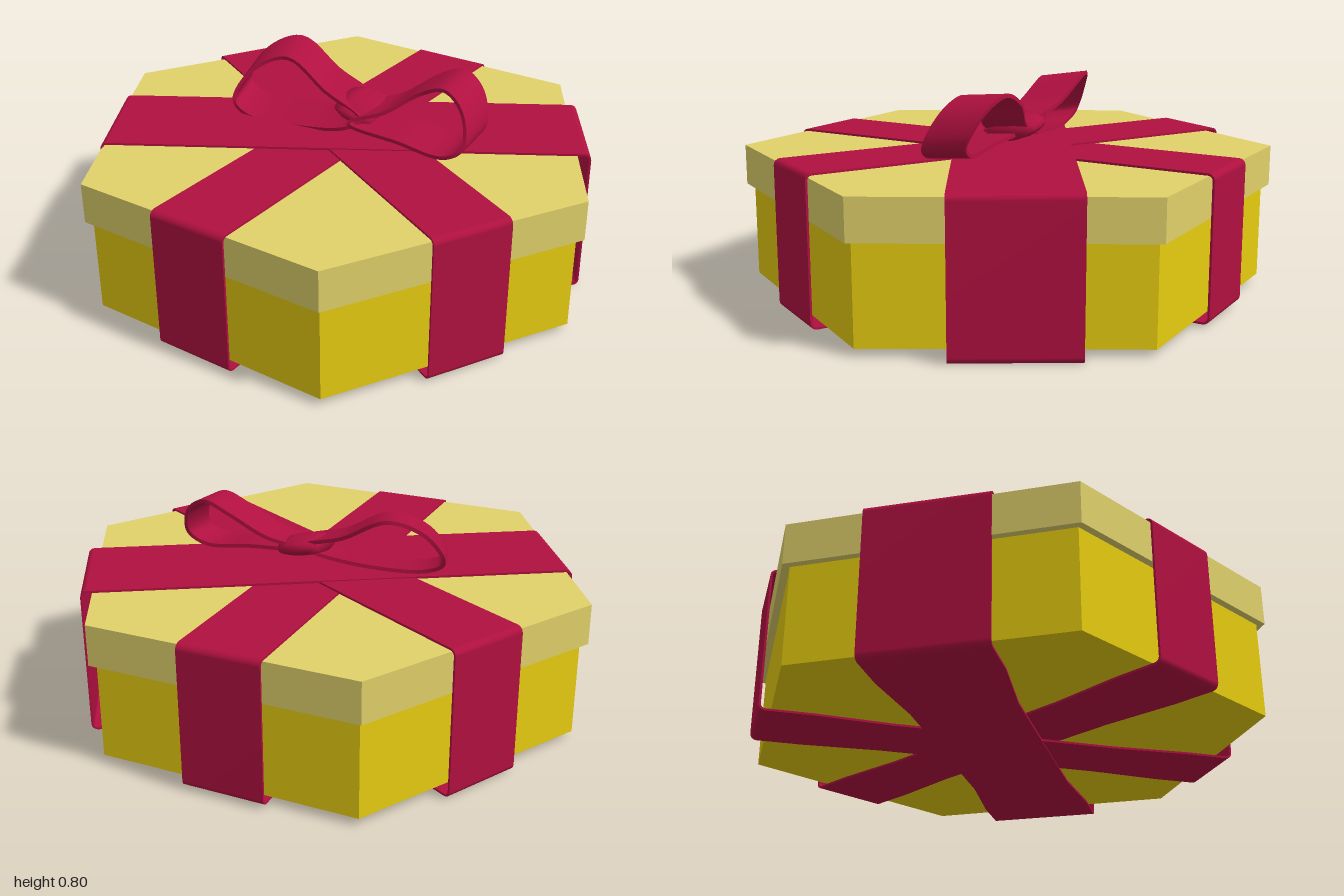
import * as THREE from 'three';

const V = (x, y, z) => new THREE.Vector3(x, y, z);
const boxMat = new THREE.MeshStandardMaterial({ color: 0xe6cc10, flatShading: true });
const lidMat = new THREE.MeshStandardMaterial({ color: 0xe0d06a, flatShading: true });
const ribbonMat = new THREE.MeshStandardMaterial({ color: 0xb01040 });

function add(group, name, geometry, material) {
  const mesh = new THREE.Mesh(geometry, material);
  mesh.name = name;
  group.add(mesh);
  return mesh;
}

// Sweeps a thin rectangle along a closed loop of points; across(i) is the half-width vector
function ribbonLoop(points, across, thickness) {
  const n = points.length, rings = [];
  for (let i = 0; i < n; i++) {
    const tangent = points[(i + 1) % n].clone().sub(points[(i + n - 1) % n]);
    const w = across(i);
    const normal = tangent.cross(w).normalize().multiplyScalar(thickness / 2);
    rings.push([[1, 1], [-1, 1], [-1, -1], [1, -1]].map(([a, b]) =>
      points[i].clone().addScaledVector(w, a).addScaledVector(normal, b)));
  }
  const position = [], index = [];
  for (let side = 0; side < 4; side++) {
    const base = position.length / 3;
    for (let i = 0; i < n; i++) {
      position.push(...rings[i][side].toArray(), ...rings[i][(side + 1) % 4].toArray());
      const a = base + 2 * i, b = base + 2 * ((i + 1) % n);
      index.push(a, a + 1, b + 1, a, b + 1, b);
    }
  }
  const geometry = new THREE.BufferGeometry();
  geometry.setAttribute('position', new THREE.Float32BufferAttribute(position, 3));
  geometry.setIndex(index);
  geometry.computeVertexNormals();
  return geometry;
}

// Band running round the box: rounded rectangle in the local x-y plane, slightly pinched below
function wrap(halfLength, bottom, top, width) {
  const r = 0.02, points = [];
  const corners = [[1, 1, 0], [-1, 1, 1], [-1, -1, 2], [1, -1, 3]];
  for (const [sx, sy, q] of corners) {
    const cx = sx * (halfLength - r), cy = sy > 0 ? top - r : bottom + r;
    for (let k = 0; k <= 4; k++) {
      const a = (q + k / 4) * Math.PI / 2;
      points.push(V(cx + r * Math.cos(a), cy + r * Math.sin(a), 0));
    }
    if (q === 2) for (const u of [-0.7, -0.42, -0.2, 0.2, 0.42, 0.7]) points.push(V(u, bottom, 0));
  }
  const half = (p) => width / 2 * (p.y < bottom + 0.001 && Math.abs(p.x) < 0.5 ? 0.88 : 1);
  return ribbonLoop(points, (i) => V(0, 0, half(points[i])), 0.008);
}

// Bow loop through a few points of its centre line
function bowLoop(points, across) {
  const curve = new THREE.CatmullRomCurve3(points.map((p) => V(...p)), true, 'centripetal');
  return ribbonLoop(curve.getPoints(48).slice(0, -1), () => across, 0.014);
}

export function createModel() {
  const model = new THREE.Group();

  // Hexagonal box and overhanging lid, corners on the x axis
  const hexagon = (radius, height) => new THREE.CylinderGeometry(radius, radius, height, 6).rotateY(Math.PI / 6);
  add(model, 'box', hexagon(0.97, 0.36), boxMat).position.y = 0.21;
  add(model, 'lid', hexagon(1, 0.15), lidMat).position.y = 0.461;

  // Three bands crossing on the lid and underneath
  const bands = [
    ['straightBand', 0.881, 0.018, 0.541, 0.305, Math.PI / 2, -0.012, 0],
    ['wideBand', 0.888, 0.006, 0.552, 0.435, 0.54, 0.005, -0.025],
    ['narrowBand', 0.882, 0.010, 0.548, 0.30, -0.50, 0.007, -0.02],
  ];
  for (const [name, halfLength, bottom, top, width, turn, x, z] of bands) {
    const band = add(model, name, wrap(halfLength, bottom, top, width), ribbonMat);
    band.rotation.y = turn;
    band.position.set(x, 0, z);
  }

  // Bow: two loops leaning towards the back, tied by a knot
  const bow = new THREE.Group();
  bow.name = 'bow';
  model.add(bow);
  add(bow, 'rightBowLoop', bowLoop([
    [0.08, 0.625, -0.05], [-0.1, 0.69, -0.08], [-0.28, 0.78, -0.09], [-0.4, 0.725, -0.03],
    [-0.45, 0.61, 0.03], [-0.38, 0.567, 0.04], [-0.18, 0.562, 0.01], [0.02, 0.59, -0.02],
  ], V(0.025, -0.012, 0.085)), ribbonMat);
  add(bow, 'leftBowLoop', bowLoop([
    [0.06, 0.61, -0.03], [0.28, 0.59, -0.03], [0.46, 0.575, -0.04], [0.525, 0.62, -0.06],
    [0.49, 0.73, -0.11], [0.4, 0.783, -0.14], [0.3, 0.745, -0.14], [0.18, 0.66, -0.09],
  ], V(0.004, -0.008, 0.088)), ribbonMat);

  // Barrel-shaped knot lying along x
  const profile = [[0, -0.08], [0.085, -0.08], [0.105, -0.04], [0.11, 0], [0.105, 0.04], [0.085, 0.08], [0, 0.08]];
  const barrel = new THREE.LatheGeometry(profile.map(([r, y]) => new THREE.Vector2(r, y)), 16);
  barrel.rotateZ(Math.PI / 2).scale(1, 0.36, 1);
  const knot = add(bow, 'knot', barrel, ribbonMat);
  knot.position.set(0.057, 0.625, -0.07);
  knot.rotation.set(0.12, 0, -0.2);

  return model;
}
